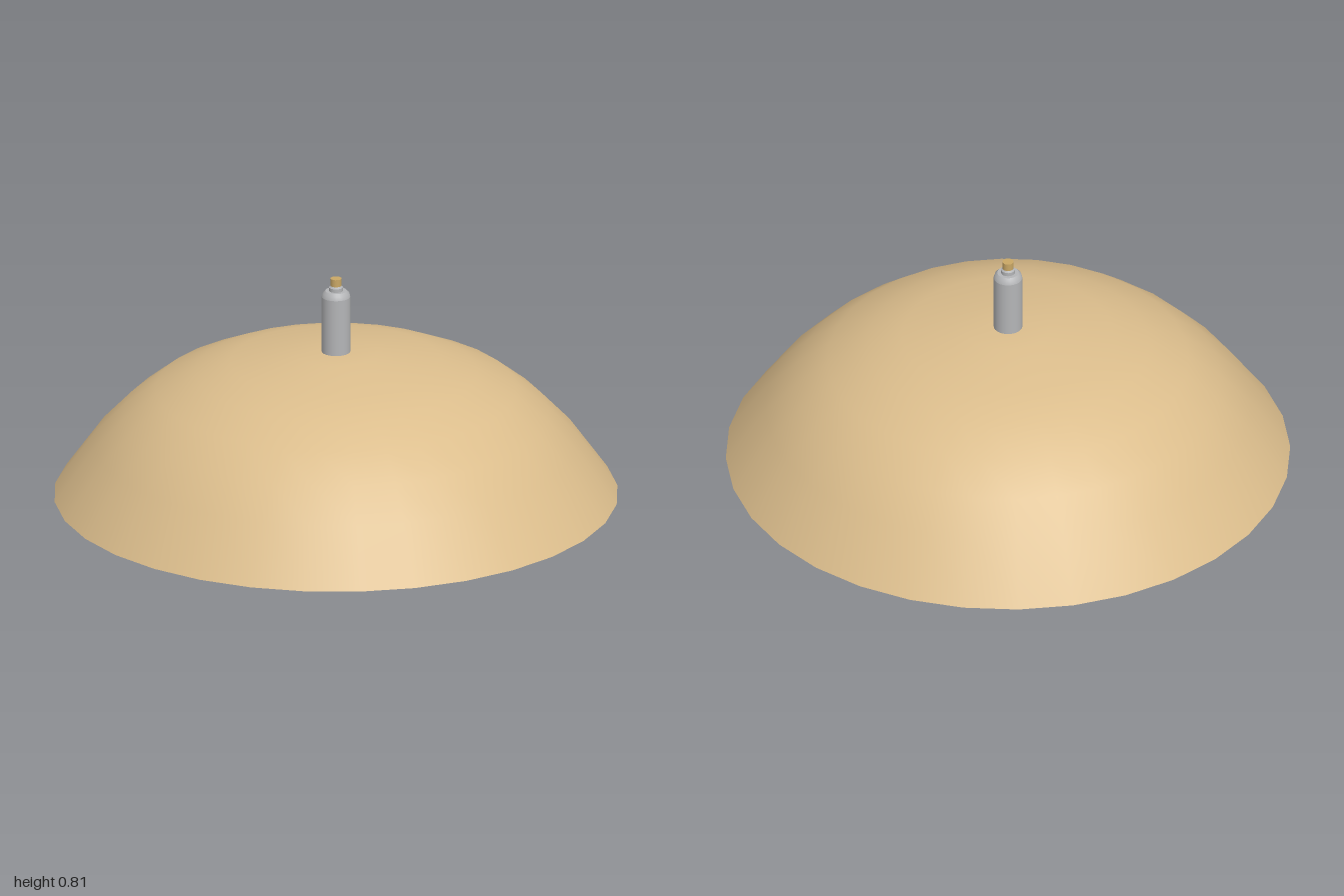
import * as THREE from 'three';

const material = (name, color) => {
  const m = new THREE.MeshStandardMaterial({ color });
  m.name = name;
  return m;
};

// Revolved part from [radius, height] pairs, bottom to top
function revolve(name, profile, segments, mat) {
  const points = profile.map(([r, y]) => new THREE.Vector2(r, y));
  const mesh = new THREE.Mesh(new THREE.LatheGeometry(points, segments), mat);
  mesh.name = name;
  return mesh;
}

export function createModel() {
  const tan = material('warmTan', 0xdbbd8c);
  tan.side = THREE.DoubleSide;
  const metal = material('greyMetal', 0xb4b5b7);
  const brass = material('brass', 0xc9a765);

  const lamp = new THREE.Group();
  lamp.name = 'pendantLamp';

  // Thin open dome
  lamp.add(revolve('shade', [
    [1, 0], [0.86, 0.195], [0.755, 0.305], [0.64, 0.396],
    [0.5, 0.46], [0.375, 0.499], [0.15, 0.537], [0.04, 0.538],
  ], 32, tan));

  // Lamp holder, passing just through the dome; doubled points keep edges crisp
  lamp.add(revolve('socket', [
    [0, 0.528], [0.051, 0.528], [0.051, 0.528], [0.051, 0.745],
    [0.051, 0.745], [0.047, 0.758], [0.038, 0.767], [0.038, 0.767], [0, 0.767],
  ], 24, metal));

  // Stepped collar on the holder
  lamp.add(revolve('collar', [
    [0.025, 0.765], [0.025, 0.78], [0.025, 0.78], [0.016, 0.784], [0.016, 0.79], [0, 0.79],
  ], 16, metal));

  // Cable nipple
  lamp.add(revolve('cableNipple', [
    [0, 0.786], [0.02, 0.786], [0.02, 0.786], [0.02, 0.813], [0.02, 0.813], [0, 0.813],
  ], 16, brass));

  return lamp;
}
